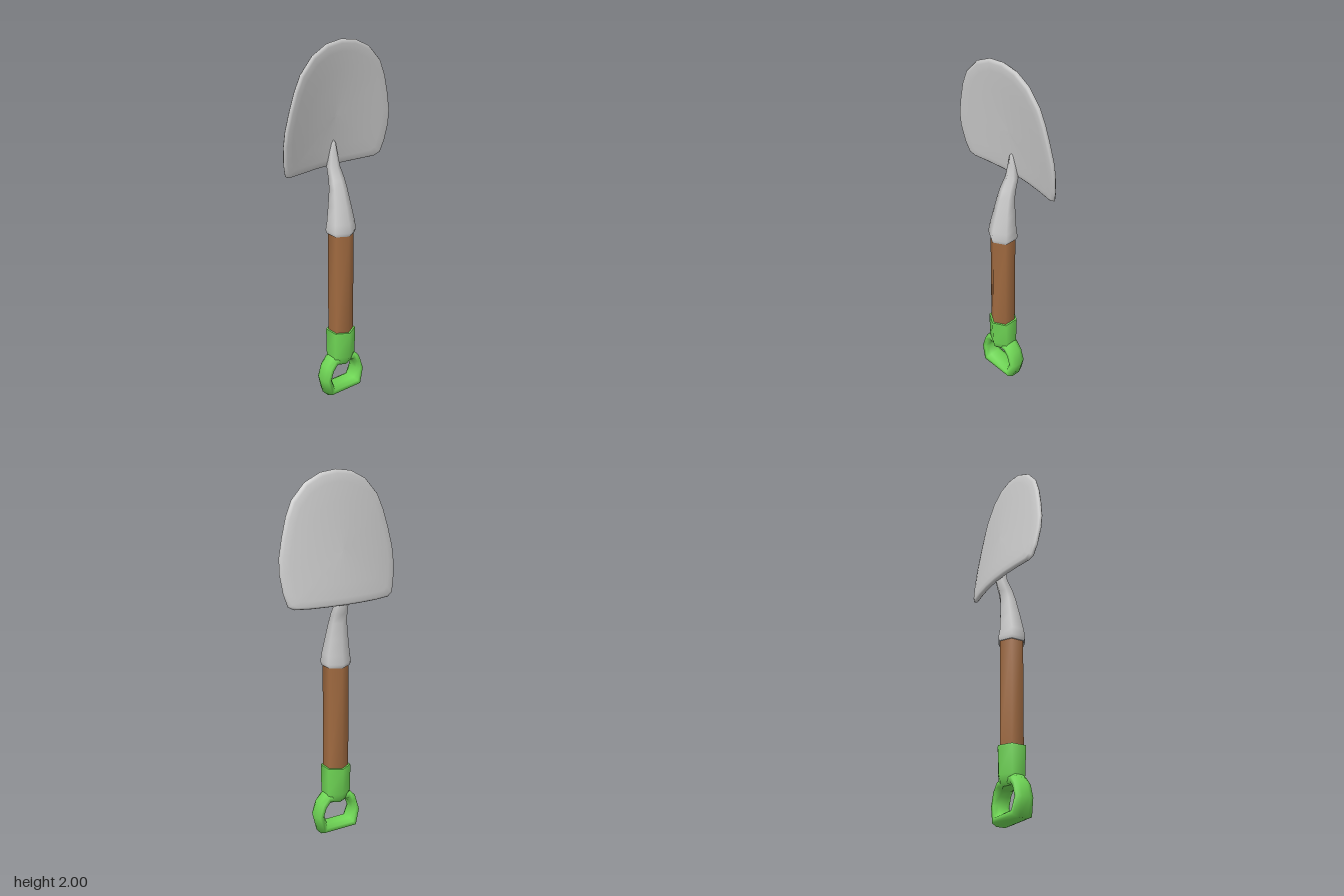
import * as THREE from 'three';

const AXIS_Z = 0.014; // depth of the shaft axis

// Smooth skin through cross-sections, each a list of [x, y, z] corners.
// Either closes into a loop or gets a sharp-edged cap at both ends.
function loft(rings, closed = false) {
  const n = rings[0].length, m = rings.length;
  const pos = rings.flat(2), idx = [];
  const steps = closed ? m : m - 1;
  for (let j = 0; j < steps; j++) {
    for (let i = 0; i < n; i++) {
      const k = (i + 1) % n, u = (j + 1) % m;
      const a = j * n + i, b = j * n + k, c = u * n + k, d = u * n + i;
      idx.push(a, b, c, a, c, d);
    }
  }
  if (!closed) {
    for (const end of [0, m - 1]) {
      const start = pos.length / 3;
      pos.push(...rings[end].flat());
      for (let i = 1; i < n - 1; i++) {
        if (end === 0) idx.push(start, start + i + 1, start + i);
        else idx.push(start, start + i, start + i + 1);
      }
    }
  }
  const geo = new THREE.BufferGeometry();
  geo.setAttribute('position', new THREE.Float32BufferAttribute(pos, 3));
  geo.setIndex(idx);
  geo.computeVertexNormals();
  return geo;
}

// Six-sided section with a corner to the front; rx is the half width across x.
function hexRing([y, rx, rz, z = AXIS_Z]) {
  return Array.from({ length: 6 }, (_, i) => {
    const a = (i * Math.PI) / 3;
    return [(Math.sin(a) / Math.sin(Math.PI / 3)) * rx, y, z + Math.cos(a) * rz];
  });
}

// Dished, slightly tilted blade: outline shrunk towards its middle, back to front.
function bladeGeometry() {
  const half = [
    [0.1, 1.315], [0.2, 1.315], [0.285, 1.318], [0.315, 1.335], [0.333, 1.4],
    [0.344, 1.5], [0.34, 1.58], [0.318, 1.68], [0.29, 1.78], [0.255, 1.86],
    [0.18, 1.943], [0.09, 1.988],
  ];
  const mirrored = half.map(([x, y]) => [-x, y]).reverse();
  const outline = [[0, 1.315], ...half, [0, 2], ...mirrored];
  // [scale of the outline, offset from the mid surface]
  const back = [[0.02, -1], [0.3, -1], [0.6, -1], [0.85, -1], [0.95, -0.85], [0.985, -0.5], [1, 0]];
  const front = back.slice(0, -1).map(([s, t]) => [s, -t]).reverse();
  const midY = 1.6;
  return loft([...back, ...front].map(([s, t]) => outline.map(([px, py]) => {
    const x = px * s, y = midY + (py - midY) * s;
    const z = 0.012 - 0.142 * (2 - y) + 0.4 * x * x;
    return [x, y, z + t * 0.018];
  })));
}

// Rounded D-shaped loop of the grip, from matching outer and inner corners.
function gripLoopGeometry() {
  const half = [ // outer x, y, inner x, y, depth factor
    [0.11, 0, 0.072, 0.05, 1.15],
    [0.137, 0.1, 0.091, 0.105, 1],
    [0.113, 0.18, 0.075, 0.147, 1],
    [0.07, 0.228, 0.055, 0.172, 1],
  ];
  const corners = [...half, ...half.map(([a, b, c, d, f]) => [-a, b, -c, d, f]).reverse()];
  const section = [ // [inner to outer, depth]
    [0, 0.025], [0.3, 0.047], [0.75, 0.047], [1, 0.022],
    [1, -0.022], [0.75, -0.047], [0.3, -0.047], [0, -0.025],
  ];
  return loft(corners.map(([ox, oy, ix, iy, f]) => section.map(([t, z]) => [
    ix + (ox - ix) * t, iy + (oy - iy) * t, AXIS_Z + z * f,
  ])), true);
}

export function createModel() {
  const group = new THREE.Group();
  const metal = new THREE.MeshStandardMaterial({ color: 0xcccccc });
  const wood = new THREE.MeshStandardMaterial({ color: 0xa06a40 });
  const green = new THREE.MeshStandardMaterial({ color: 0x6fd655 });

  const add = (name, geometry, material, parent = group) => {
    const mesh = new THREE.Mesh(geometry, material);
    mesh.name = name;
    parent.add(mesh);
  };

  add('blade', bladeGeometry(), metal);

  // Tapered socket, bending back and ending in a point on the blade
  add('socket', loft([
    [0.965, 0.066, 0.076],
    [0.985, 0.071, 0.082],
    [1.03, 0.066, 0.073],
    [1.12, 0.054, 0.06, 0.004],
    [1.21, 0.043, 0.046, -0.008],
    [1.26, 0.038, 0.041, -0.022],
    [1.32, 0.031, 0.036, -0.048],
    [1.4, 0.02, 0.025, -0.053],
    [1.45, 0.011, 0.012, -0.048],
    [1.465, 0.003, 0.004, -0.048],
  ].map(hexRing)), metal);

  add('shaft', loft([[0.36, 0.06, 0.07], [0.98, 0.06, 0.07]].map(hexRing)), wood);

  // Grip: sleeve around the shaft and the hand loop below it
  const grip = new THREE.Group();
  grip.name = 'grip';
  group.add(grip);
  add('gripSleeve', loft([
    [0.176, 0.055, 0.05],
    [0.195, 0.064, 0.066],
    [0.23, 0.07, 0.075],
    [0.375, 0.071, 0.082],
    [0.385, 0.07, 0.081],
  ].map(hexRing)), green, grip);
  add('gripLoop', gripLoopGeometry(), green, grip);

  return group;
}
